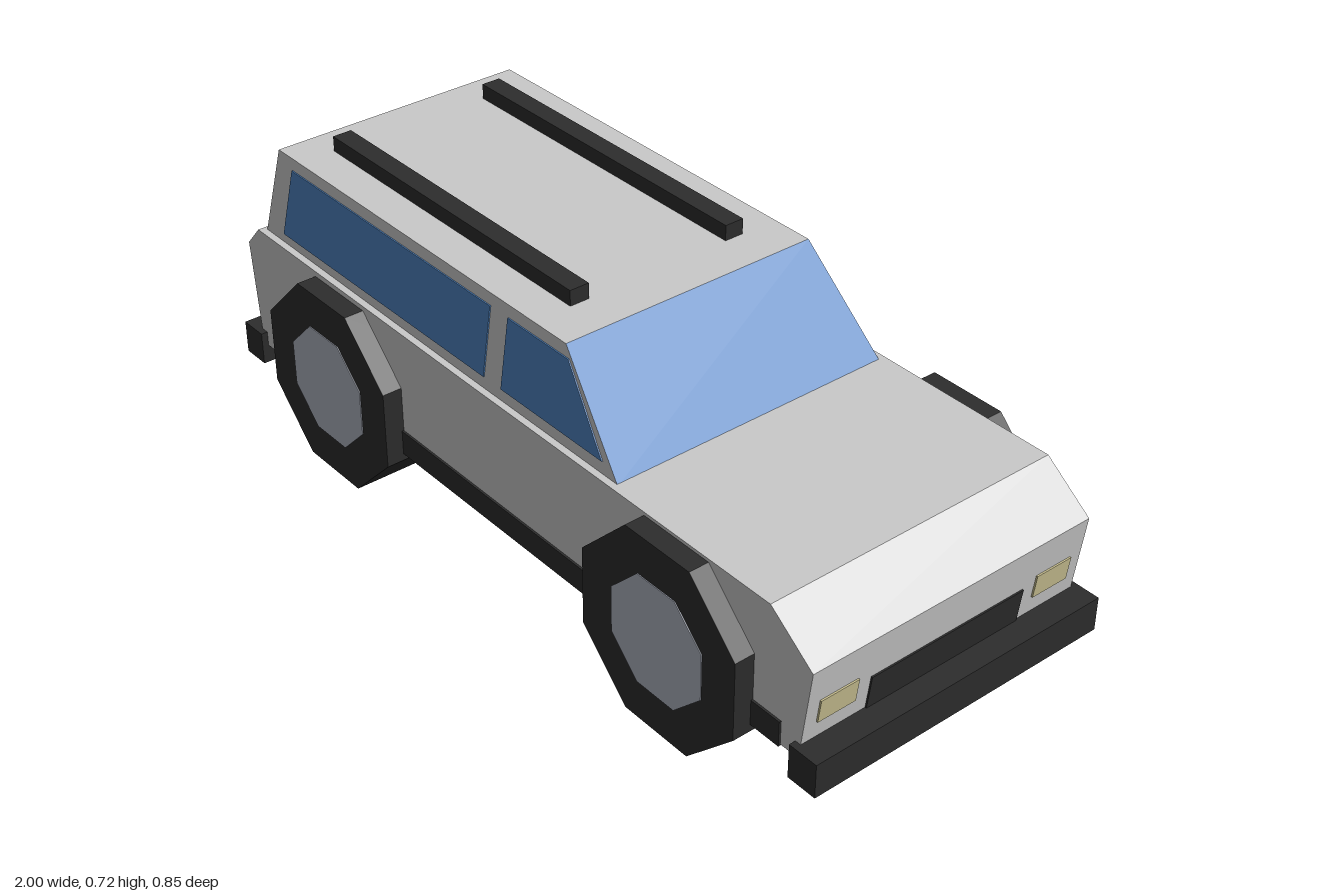
import * as THREE from 'three';

const mat = (name, color) => {
  const m = new THREE.MeshStandardMaterial({ color });
  m.name = name;
  return m;
};

export function createModel() {
  const paint = mat('body paint', 0xcacaca);
  const glass = mat('window glass', 0x4d82bf);
  const black = mat('black rubber', 0x2d2d2d);
  const hub = mat('wheel hub', 0xb0b5c2);
  const lamp = mat('headlight', 0xcdc494);
  const red = mat('tail light', 0xb01818);

  const car = new THREE.Group();
  car.name = 'offRoadCar';

  const add = (name, geometry, material) => {
    const mesh = new THREE.Mesh(geometry, material);
    mesh.name = name;
    car.add(mesh);
    return mesh;
  };
  // Box given by its limits on each axis
  const box = (x0, x1, y0, y1, z0, z1) =>
    new THREE.BoxGeometry(x1 - x0, y1 - y0, z1 - z0)
      .translate((x0 + x1) / 2, (y0 + y1) / 2, (z0 + z1) / 2);
  // Move every vertex by a rule, then restore flat normals
  const warp = (geometry, rule) => {
    const p = geometry.attributes.position;
    const v = new THREE.Vector3();
    for (let i = 0; i < p.count; i++) {
      rule(v.fromBufferAttribute(p, i));
      p.setXYZ(i, v.x, v.y, v.z);
    }
    geometry.computeVertexNormals();
    return geometry;
  };
  const outline = (points) => new THREE.Shape(points.map(([x, y]) => new THREE.Vector2(x, y)));

  // Lower body: side profile extruded across the width
  const profile = outline([
    [-0.945, 0.155], [0.935, 0.155], [0.963, 0.378], [0.843, 0.467],
    [-0.12, 0.469], [-0.92, 0.475], [-0.97, 0.42],
  ]);
  add('body', new THREE.ExtrudeGeometry(profile, { depth: 0.746, bevelEnabled: false })
    .translate(0, 0, -0.373), paint);

  // Cabin: tapered block with glass front and rear faces
  const cabin = warp(box(-0.91, 0.38, 0.465, 0.685, -0.357, 0.357), (v) => {
    if (v.y > 0.6) {
      v.x = v.x > 0 ? 0.18 : -0.875;
      v.z = Math.sign(v.z) * 0.325;
    }
  });
  add('cabin', cabin, [glass, glass, paint, paint, paint, paint]);

  // Side windows: thin plates leaning with the cabin wall
  const windows = {
    rearSideWindow: [[-0.835, 0.495], [-0.065, 0.495], [-0.065, 0.658], [-0.815, 0.658]],
    frontSideWindow: [[-0.005, 0.495], [0.328, 0.495], [0.195, 0.658], [-0.005, 0.658]],
  };
  for (const [name, points] of Object.entries(windows)) {
    for (const side of [1, -1]) {
      const plate = new THREE.ExtrudeGeometry(outline(points), { depth: 0.006, bevelEnabled: false });
      warp(plate, (v) => {
        v.z += -0.003 + side * (0.357 - (v.y - 0.465) * 0.1455);
      });
      add(name, plate, glass);
    }
  }

  // Thin plate lying on the sloping nose (end = 1) or tail (end = -1)
  const endPlate = (name, end, y0, y1, z0, z1, material) =>
    add(name, warp(box(-0.004, 0.004, y0, y1, z0, z1), (v) => {
      v.x += end > 0 ? 0.935 + (v.y - 0.155) * 0.126 : -0.945 - (v.y - 0.155) * 0.094;
    }), material);

  endPlate('grille', 1, 0.17, 0.275, -0.207, 0.207, black);

  for (const side of [1, -1]) {
    const z = side * 0.292;
    endPlate('headlight', 1, 0.235, 0.292, z - 0.049, z + 0.049, lamp);
    endPlate('tailLight', -1, 0.235, 0.292, z - 0.049, z + 0.049, red);

    const rail = side * 0.208;
    add('roofRail', box(-0.79, 0.075, 0.68, 0.722, rail - 0.024, rail + 0.024), black);

    const sill = side * 0.366;
    add('sill', box(-0.888, 0.885, 0.152, 0.213, sill - 0.012, sill + 0.012), black);

    // Eight-sided wheels with a flat hub disc
    for (const x of [-0.585, 0.575]) {
      const octagon = (apothem, depth, zc) =>
        new THREE.CylinderGeometry(apothem / Math.cos(Math.PI / 8), apothem / Math.cos(Math.PI / 8), depth, 8)
          .toNonIndexed().rotateY(Math.PI / 8).rotateX(Math.PI / 2).translate(x, 0.23, side * zc);
      const tyre = octagon(0.23, 0.23, 0.306);
      tyre.computeVertexNormals();
      add('tyre', tyre, black);
      const disc = octagon(0.136, 0.006, 0.42);
      disc.computeVertexNormals();
      add('wheelHub', disc, hub);
    }
  }

  // Bumpers
  add('frontBumper', box(0.925, 1, 0.11, 0.192, -0.389, 0.389), black);
  add('rearBumper', box(-1, -0.927, 0.11, 0.192, -0.389, 0.389), black);

  return car;
}
